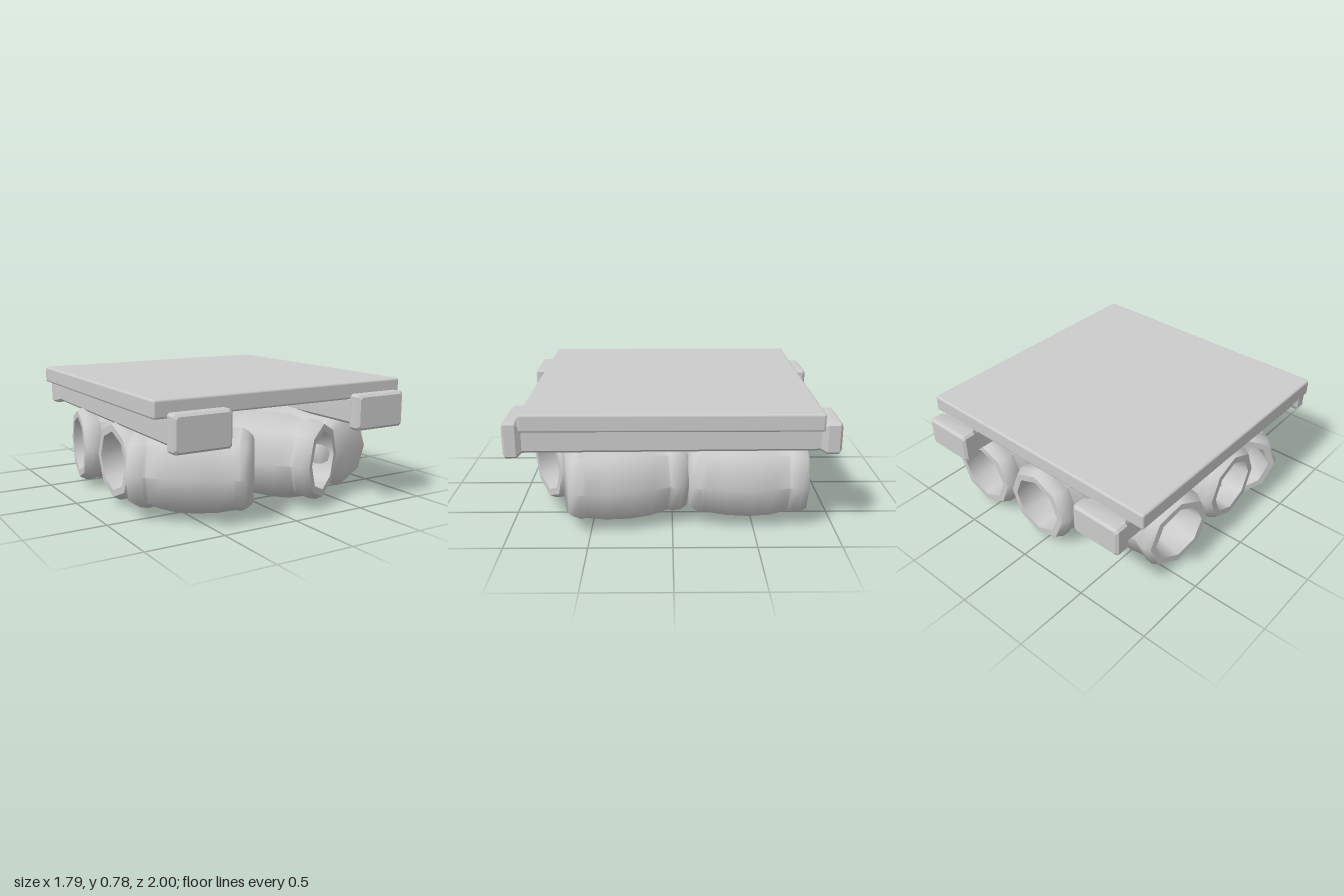
import * as THREE from 'three';
import { toCreasedNormals } from 'three/addons/utils/BufferGeometryUtils.js';
import { RoundedBoxGeometry } from 'three/addons/geometries/RoundedBoxGeometry.js';

const material = new THREE.MeshStandardMaterial({ color: 0xcccccc });

function addMesh(parent, name, geometry) {
  const mesh = new THREE.Mesh(geometry, material);
  mesh.name = name;
  parent.add(mesh);
  return mesh;
}

// Eight-sided open jar lying along z, mouth towards +z, centred on its axis
function barrelGeometry() {
  const profile = [
    [0, 0], [0.21, 0], [0.24, 0.03], [0.26, 0.07], [0.255, 0.1], // base and foot band
    [0.278, 0.22], [0.287, 0.365], [0.278, 0.5], [0.25, 0.61],   // swelling body
    [0.26, 0.635], [0.26, 0.685], [0.235, 0.73], [0.19, 0.73],   // rim
    [0.165, 0.5], [0, 0.47],                                     // hollow
  ].map(([r, t]) => new THREE.Vector2(r, t - 0.365));
  const geometry = new THREE.LatheGeometry(profile, 8);
  geometry.rotateX(Math.PI / 2);
  return toCreasedNormals(geometry, 0.9);
}

// Box along z whose width and height swell into a block at each end
function beamGeometry() {
  // z, half width, bottom, top
  const stations = [
    [-1, 0.155, 0.525, 0.69], [-0.985, 0.17, 0.51, 0.705], [-0.915, 0.17, 0.51, 0.705],
    [-0.88, 0.145, 0.525, 0.69], [0.89, 0.16, 0.52, 0.69],
    [0.92, 0.185, 0.495, 0.717], [0.985, 0.185, 0.495, 0.717], [1, 0.17, 0.51, 0.702],
  ];
  // Chamfered rectangle used at every station
  const c = 0.015;
  const positions = [], indices = [];
  for (const [z, w, y0, y1] of stations) {
    const ring = [
      [w - c, y0], [w, y0 + c], [w, y1 - c], [w - c, y1],
      [c - w, y1], [-w, y1 - c], [-w, y0 + c], [c - w, y0],
    ];
    for (const [x, y] of ring) positions.push(x, y, z);
  }
  const last = (stations.length - 1) * 8;
  for (let s = 0; s < last; s += 8) {
    for (let i = 0; i < 8; i++) {
      const j = (i + 1) % 8;
      indices.push(s + i, s + j, s + 8 + j, s + i, s + 8 + j, s + 8 + i);
    }
  }
  for (let i = 1; i < 7; i++) {
    indices.push(0, i + 1, i, last, last + i, last + i + 1);
  }
  const geometry = new THREE.BufferGeometry();
  geometry.setAttribute('position', new THREE.Float32BufferAttribute(positions, 3));
  geometry.setIndex(indices);
  geometry.computeVertexNormals();
  return toCreasedNormals(geometry, 0.5);
}

export function createModel() {
  const raft = new THREE.Group();
  raft.name = 'raft';

  // Deck
  addMesh(raft, 'deck', new RoundedBoxGeometry(1.77, 0.108, 1.77, 2, 0.015))
    .position.set(0.005, 0.731, 0.005);

  // Two beams under the deck
  const beam = beamGeometry();
  addMesh(raft, 'leftBeam', beam).position.x = 0.643;
  addMesh(raft, 'rightBeam', beam).position.x = -0.63;

  // Floating barrels: centre x, centre z, mouth direction x, z
  const barrels = [
    ['frontRightBarrel', -0.46, 0.565, -0.8, -0.6],
    ['frontCentreBarrel', 0.16, 0.5, 0.5, 0.86],
    ['frontLeftBarrel', 0.58, 0.305, -0.22, -0.97],
    ['middleRightBarrel', -0.44, 0.15, -1, 0],
    ['backRightBarrel', -0.45, -0.37, -0.98, -0.17],
    ['backCentreBarrel', 0.025, -0.465, 0.03, -1],
    ['backLeftBarrel', 0.545, -0.465, 0, -1],
  ];
  const geometry = barrelGeometry();
  for (const [name, x, z, dx, dz] of barrels) {
    const barrel = addMesh(raft, name, geometry);
    barrel.position.set(x, 0.288, z);
    barrel.rotation.y = Math.atan2(dx, dz);
  }
  return raft;
}
